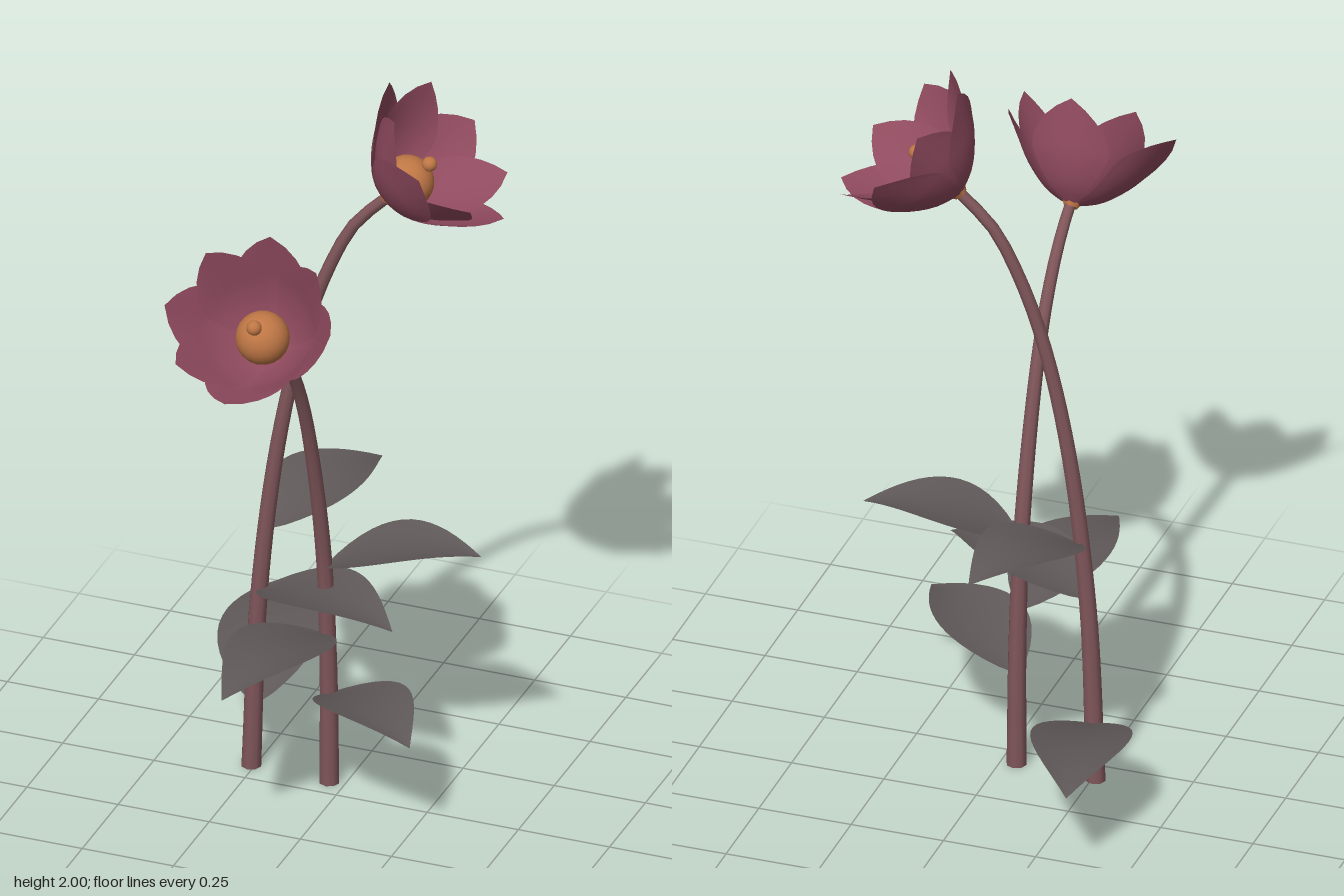
import * as THREE from 'three';

const V = (x, y, z) => new THREE.Vector3(x, y, z);
const mat = (name, color, side = THREE.FrontSide) => {
  const m = new THREE.MeshStandardMaterial({ color, side });
  m.name = name;
  return m;
};

// Builds a surface grid from f(u, v), with u across (-1..1) and v along (0..1)
function sheet(nu, nv, f) {
  const pos = [], idx = [];
  for (let j = 0; j <= nv; j++)
    for (let i = 0; i <= nu; i++) pos.push(...f((2 * i) / nu - 1, j / nv));
  for (let j = 0; j < nv; j++)
    for (let i = 0; i < nu; i++) {
      const a = j * (nu + 1) + i, b = a + 1, c = a + nu + 1, d = c + 1;
      idx.push(a, c, b, b, c, d);
    }
  const g = new THREE.BufferGeometry();
  g.setAttribute('position', new THREE.Float32BufferAttribute(pos, 3));
  g.setIndex(idx);
  g.computeVertexNormals();
  return g;
}

export function createModel() {
  const petalMat = mat('plum petal', 0x8f4a5e, THREE.DoubleSide);
  const stemMat = mat('mauve stem', 0x80565a);
  const leafMat = mat('grey leaf', 0x5f5858, THREE.DoubleSide);
  const heartMat = mat('orange heart', 0xbf7745);
  const model = new THREE.Group();
  model.name = 'flowers';

  const add = (parent, name, geo, material) => {
    const m = new THREE.Mesh(geo, material);
    m.name = name;
    parent.add(m);
    return m;
  };

  // Tapered stem along a curve, closed at the foot
  function stem(name, points) {
    const curve = new THREE.CatmullRomCurve3(points), n = 28, sides = 8;
    const g = new THREE.TubeGeometry(curve, n, 1, sides);
    const p = g.attributes.position, v = V(0, 0, 0);
    for (let i = 0; i < p.count; i++) {
      const t = Math.floor(i / (sides + 1)) / n;
      const c = curve.getPointAt(t);
      v.fromBufferAttribute(p, i).sub(c).multiplyScalar(0.027 - 0.012 * t).add(c);
      if (t === 0) v.y = 0;
      p.setXYZ(i, v.x, v.y, v.z);
    }
    add(model, name, g, stemMat);
    const foot = add(model, name + 'Foot', new THREE.CircleGeometry(0.027, sides), stemMat);
    foot.rotation.x = Math.PI / 2;
    foot.position.set(points[0].x, 0.001, points[0].z);
  }

  // Arched pointed leaf, slightly cupped, from base to tip
  function leaf(name, base, tip, width) {
    const along = tip.clone().sub(base);
    const side = V(along.z, 0, -along.x).normalize();
    const g = sheet(8, 16, (u, v) => {
      const w = 0.5 * width * Math.sin(Math.PI * Math.pow(v, 0.8));
      const c = base.clone().addScaledVector(along, v).addScaledVector(side, u * w);
      c.y += 0.2 * v * (1 - v) + 0.15 * w * (u * u - 0.3);
      return c.toArray();
    });
    add(model, name, g, leafMat);
  }

  // Bowl profile of a petal: radius and height
  const profile = new THREE.CatmullRomCurve3([
    V(0.012, 0, 0), V(0.075, 0.03, 0), V(0.135, 0.085, 0), V(0.178, 0.145, 0), V(0.228, 0.22, 0),
  ]);
  function petal(half, scale, lift) {
    return sheet(10, 14, (u, v) => {
      const p = profile.getPoint(v);
      const k = v < 0.55 ? 1 : 1 - Math.pow((v - 0.55) / 0.45, 1.7);
      const a = u * half * k;
      const r = p.x * scale * (1 + 0.05 * u * u * k);
      return [r * Math.sin(a), p.y + lift * v, r * Math.cos(a)];
    });
  }

  function flower(name, base, axis) {
    const g = new THREE.Group();
    g.name = name;
    g.position.copy(base);
    g.quaternion.setFromUnitVectors(V(0, 1, 0), axis.normalize());
    // Two alternating rings of four petals
    const outer = petal(0.72, 1, 0), inner = petal(0.68, 0.94, 0.015);
    for (let i = 0; i < 8; i++)
      add(g, i % 2 ? 'innerPetal' : 'outerPetal', i % 2 ? inner : outer, petalMat).rotation.y = (i * Math.PI) / 4;
    // Orange heart with its knob, and the receptacle under the bowl
    add(g, 'heart', new THREE.SphereGeometry(0.07, 20, 14), heartMat).position.y = 0.075;
    add(g, 'pistil', new THREE.CylinderGeometry(0.013, 0.013, 0.02, 10), heartMat).position.y = 0.145;
    add(g, 'knob', new THREE.SphereGeometry(0.02, 12, 8), heartMat).position.y = 0.157;
    add(g, 'receptacle', new THREE.CylinderGeometry(0.026, 0.018, 0.014, 6), heartMat).position.y = 0.001;
    model.add(g);
  }

  stem('tallStem', [
    V(-0.26, 0, -0.07), V(-0.24, 0.49, -0.07), V(-0.195, 0.92, -0.08),
    V(-0.135, 1.24, -0.095), V(-0.075, 1.44, -0.11), V(0.0, 1.6, -0.125), V(0.085, 1.69, -0.135),
  ]);
  stem('shortStem', [
    V(-0.042, 0, -0.06), V(-0.042, 0.36, -0.052), V(-0.046, 0.705, -0.025),
    V(-0.052, 1.13, 0.08), V(-0.056, 1.31, 0.165), V(-0.06, 1.41, 0.24), V(-0.06, 1.455, 0.305),
  ]);
  flower('tallFlower', V(0.085, 1.69, -0.135), V(0.7, 0.7, -0.13));
  flower('shortFlower', V(-0.062, 1.45, 0.3), V(-0.01, 0.7, 0.7));

  // Three leaves on each stem
  leaf('tallStemLowLeaf', V(-0.255, 0.17, -0.08), V(-0.37, 0.25, -0.605), 0.26);
  leaf('tallStemMiddleLeaf', V(-0.24, 0.52, -0.065), V(0.19, 0.56, 0.09), 0.25);
  leaf('tallStemTopLeaf', V(-0.22, 0.69, -0.08), V(-0.055, 0.74, -0.465), 0.25);
  leaf('shortStemLowLeaf', V(-0.045, 0.26, -0.055), V(0.29, 0.31, 0.225), 0.24);
  leaf('shortStemMiddleLeaf', V(-0.045, 0.44, -0.045), V(-0.14, 0.475, 0.445), 0.25);
  leaf('shortStemTopLeaf', V(-0.045, 0.64, -0.03), V(0.36, 0.715, -0.1), 0.24);
  return model;
}
